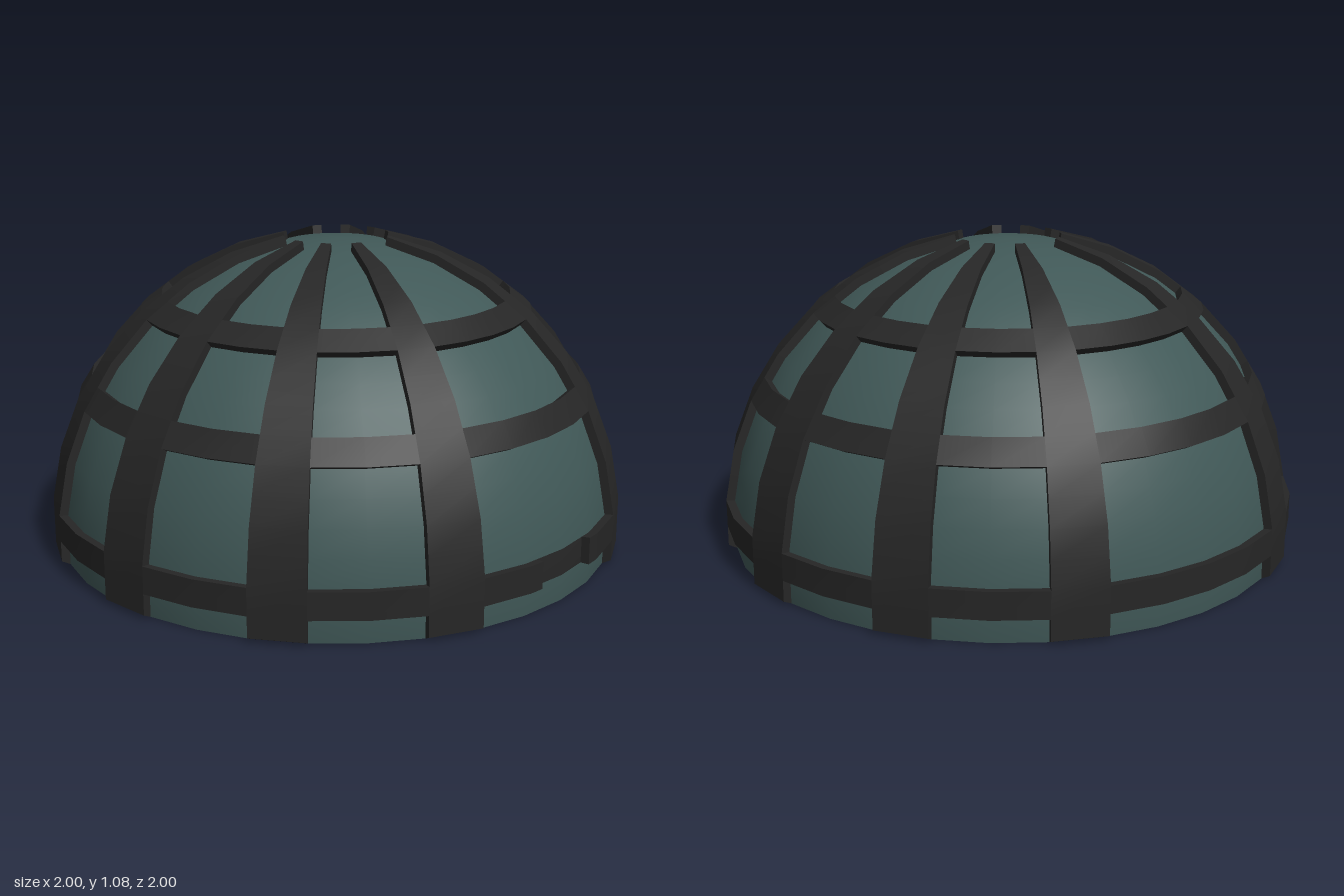
import * as THREE from 'three';
import { toCreasedNormals } from 'three/addons/utils/BufferGeometryUtils.js';

const TURN = Math.PI * 2 / 34; // one facet around the dome
const RISE = Math.PI / 34; // half a facet up the dome
const CENTRE_Y = 0.087;
const GLASS_R = 0.979;
const OUTER_R = 1.0086;
const NOTCH = 0.72; // half width of the front notch, in facets

// Point on the faceted dome: a = facets around from the front, e = half facets up.
// Between facet corners the point lies on the straight chord.
function domePoint(a, e, r) {
  const a0 = Math.floor(a), s = a - a0;
  const e0 = Math.floor((e + 1) / 2) * 2 - 1, t = (e - e0) / 2;
  const mix = (f, k0, k1, w) => f(k0) * (1 - w) + f(k1) * w;
  const h = r * mix(Math.cos, e0 * RISE, (e0 + 2) * RISE, t);
  const y = CENTRE_Y + r * mix(Math.sin, e0 * RISE, (e0 + 2) * RISE, t);
  return new THREE.Vector3(
    h * mix(Math.sin, a0 * TURN, (a0 + 1) * TURN, s),
    Math.max((r - GLASS_R) * 0.5, y), // foot slopes up towards the outside
    h * mix(Math.cos, a0 * TURN, (a0 + 1) * TURN, s));
}

// Raised block on the dome between two angles and two heights
function domeBlock(a0, a1, e0, e1) {
  const geo = new THREE.BoxGeometry(1, 1, 1, Math.max(1, Math.round(a1 - a0)), e1 - e0, 1);
  const p = geo.attributes.position;
  for (let i = 0; i < p.count; i++) {
    const v = domePoint(
      a0 + (p.getX(i) + 0.5) * (a1 - a0),
      e0 + (p.getY(i) + 0.5) * (e1 - e0),
      p.getZ(i) > 0 ? OUTER_R : GLASS_R);
    p.setXYZ(i, v.x, v.y, v.z);
  }
  return toCreasedNormals(geo, 0.5);
}

// Thin smooth pane on the dome between two angles and two heights
function domePane(a0, a1, e0, e1, nA = a1 - a0) {
  const geo = new THREE.PlaneGeometry(1, 1, nA, e1 - e0);
  const p = geo.attributes.position, n = geo.attributes.normal;
  for (let i = 0; i < p.count; i++) {
    const v = domePoint(
      a0 + (p.getX(i) + 0.5) * (a1 - a0),
      Math.round(e0 + (p.getY(i) + 0.5) * (e1 - e0)),
      GLASS_R);
    p.setXYZ(i, v.x, v.y, v.z);
    v.y -= CENTRE_Y;
    v.normalize();
    n.setXYZ(i, v.x, v.y, v.z);
  }
  return geo;
}

export function createModel() {
  const model = new THREE.Group();
  const glass = new THREE.MeshStandardMaterial({ color: 0x405857, side: THREE.DoubleSide });
  const metal = new THREE.MeshStandardMaterial({ color: 0x262626, side: THREE.DoubleSide });
  const addGroup = (name) => {
    const group = new THREE.Group();
    group.name = name;
    model.add(group);
    return group;
  };
  const add = (name, geo, mat, parent) => {
    const mesh = new THREE.Mesh(geo, mat);
    mesh.name = name;
    parent.add(mesh);
  };

  // Spaces between the ribs: front, back and four mirrored pairs
  const gaps = [[-2, 2], [15, 19]];
  for (const [a, b] of [[3, 5], [6, 8], [9, 11], [12, 14]]) gaps.push([a, b], [-b, -a]);

  // Glass panes between ribs and rings, closed by the crown
  const panes = addGroup('glassPanes');
  for (const [a, b] of gaps) {
    for (const [e0, e1] of [[-1, 0], [1, 5], [6, 9], [10, 15]]) {
      add('pane', domePane(a, b, e0, e1), glass, panes);
    }
  }
  add('crown', domePane(-17, 17, 15, 17), glass, panes);

  // Ten tapering ribs, stopping short of the crown
  const ribs = addGroup('ribs');
  for (const a of [2, 5, 8, 11, 14]) {
    add('rib', domeBlock(a, a + 1, -1, 15), metal, ribs);
    add('rib', domeBlock(-a - 1, -a, -1, 15), metal, ribs);
  }

  // Three rings, the lower one notched at the front
  const sideAndBack = gaps.slice(1);
  const notched = [[-2, -1], [-1, -NOTCH], [NOTCH, 1], [1, 2], ...sideAndBack];
  for (const [name, e, spans] of [
    ['lowerRing', 0, notched], ['middleRing', 5, gaps], ['upperRing', 9, gaps],
  ]) {
    const ring = addGroup(name);
    for (const [a, b] of spans) add('ringSegment', domeBlock(a, b, e, e + 1), metal, ring);
  }

  // Flush plate in the front notch
  add('notchPlate', domePane(-NOTCH, NOTCH, 0, 1, 2), metal, model);

  // Even out the depth, since the front is notched
  for (const part of model.children) part.position.z = 0.008;
  return model;
}
